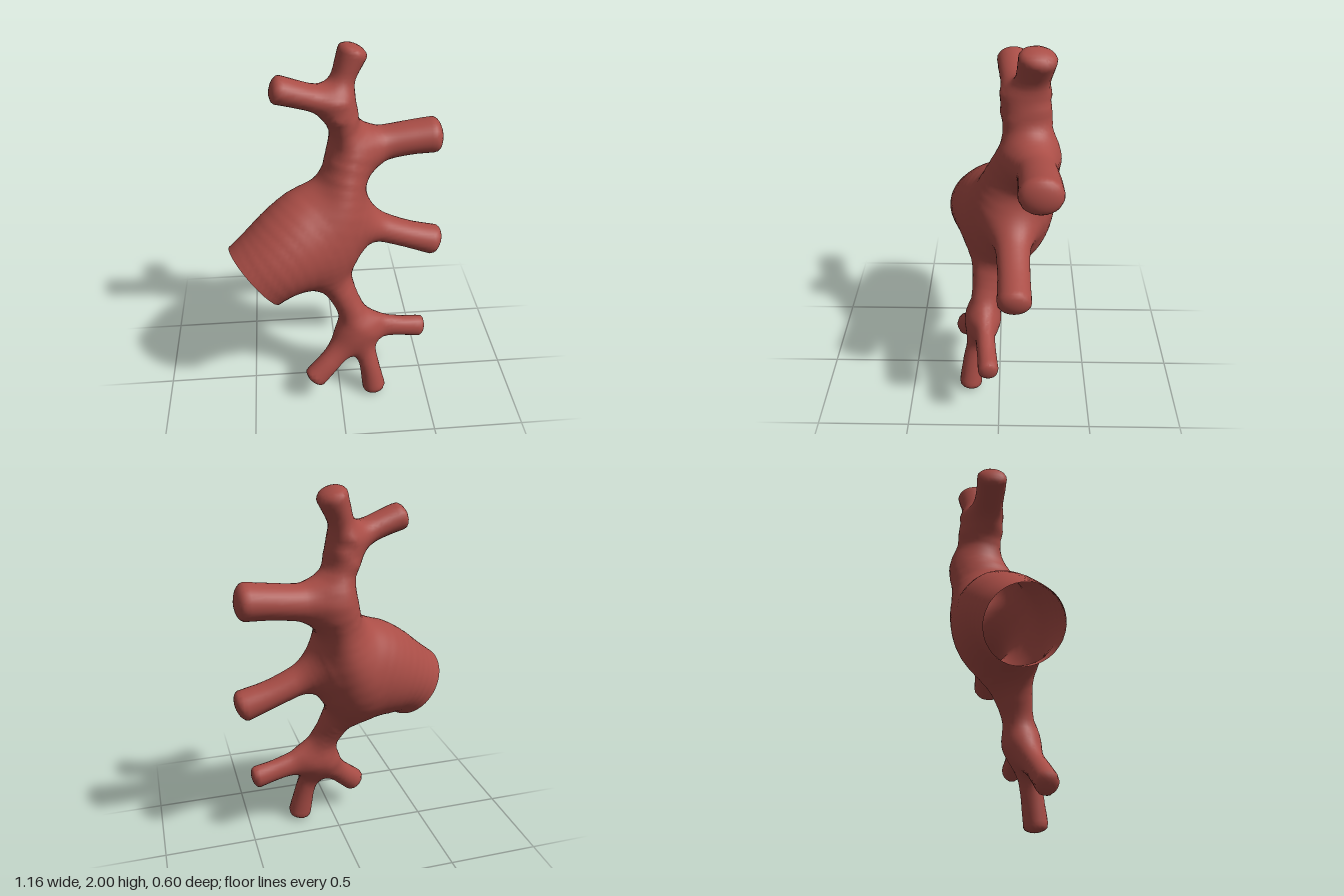
import * as THREE from 'three';

// Each part is a row of stations: [x, y, z, radius across, radius in depth].
const PARTS = {
  // Wide inlet; its first station lies beyond the open rim
  mainInlet: [
    [-0.58, 0.755, 0.137, 0.2, 0.2],
    [-0.455, 0.845, 0.1, 0.202, 0.204],
    [-0.33, 0.925, 0.062, 0.218, 0.23],
    [-0.2, 0.98, 0.012, 0.262, 0.242],
    [-0.1, 1.02, -0.03, 0.275, 0.23],
    [-0.03, 1.06, -0.06, 0.22, 0.19],
  ],
  // Upright trunk, swollen where the inlet joins
  trunk: [
    [0.015, 1.72, -0.13, 0.04, 0.07],
    [0.04, 1.59, -0.135, 0.065, 0.105],
    [0.07, 1.45, -0.145, 0.095, 0.14],
    [0.035, 1.3, -0.1, 0.122, 0.185],
    [0.01, 1.16, -0.07, 0.122, 0.205],
    [-0.05, 0.98, -0.03, 0.09, 0.18],
    [-0.055, 0.81, 0.015, 0.085, 0.145],
    [0.01, 0.68, 0.05, 0.08, 0.105],
    [0.055, 0.57, 0.075, 0.068, 0.08],
    [0.09, 0.45, 0.09, 0.07, 0.05],
  ],
  topBranch: [
    [0.01, 1.67, -0.13, 0.04, 0.07],
    [0.02, 1.77, -0.145, 0.052, 0.08],
    [0.047, 1.86, -0.16, 0.062, 0.084],
    [0.083, 1.95, -0.175, 0.075, 0.092],
  ],
  upperRightBranch: [
    [0.02, 1.66, -0.125, 0.045, 0.07],
    [-0.02, 1.715, -0.105, 0.06, 0.08],
    [-0.11, 1.757, -0.085, 0.062, 0.08],
    [-0.2, 1.79, -0.07, 0.064, 0.08],
    [-0.287, 1.818, -0.062, 0.068, 0.082],
  ],
  upperLeftBranch: [
    [0.07, 1.445, -0.145, 0.11, 0.125],
    [0.16, 1.448, -0.16, 0.108, 0.115],
    [0.26, 1.46, -0.178, 0.09, 0.1],
    [0.39, 1.477, -0.188, 0.087, 0.102],
    [0.515, 1.488, -0.19, 0.092, 0.105],
  ],
  middleLeftBranch: [
    [0.05, 1.09, -0.065, 0.1, 0.125],
    [0.14, 1.05, -0.068, 0.085, 0.105],
    [0.25, 1.0, -0.07, 0.075, 0.088],
    [0.39, 0.945, -0.075, 0.072, 0.082],
    [0.53, 0.9, -0.078, 0.082, 0.086],
  ],
  lowerLeftBranch: [
    [0.11, 0.46, 0.088, 0.08, 0.05],
    [0.18, 0.44, 0.083, 0.077, 0.05],
    [0.27, 0.42, 0.075, 0.066, 0.052],
    [0.36, 0.402, 0.066, 0.06, 0.052],
    [0.462, 0.383, 0.054, 0.063, 0.055],
  ],
  bottomBranch: [
    [0.11, 0.42, 0.1, 0.06, 0.045],
    [0.138, 0.32, 0.122, 0.058, 0.053],
    [0.167, 0.2, 0.147, 0.056, 0.058],
    [0.197, 0.037, 0.167, 0.066, 0.064],
  ],
  lowerRightBranch: [
    [0.09, 0.43, 0.1, 0.06, 0.048],
    [0.02, 0.345, 0.13, 0.063, 0.055],
    [-0.06, 0.258, 0.172, 0.064, 0.059],
    [-0.147, 0.174, 0.205, 0.068, 0.06],
  ],
};
const INLET = 0;                                   // index of mainInlet
const RIM = new THREE.Vector3(-0.455, 0.845, 0.1);  // centre of the open rim
const RIM_AXIS = new THREE.Vector3(0.78, 0.57, -0.24).normalize();
const BLEND = 0.11;                                // width of the fillets
const CELL = 0.022;
const ORIGIN = [-0.86, -0.09, -0.42], SIZE = [72, 102, 38];

// Smooth path through the stations, cut into short tapered segments
function segments(stations) {
  const path = new THREE.CatmullRomCurve3(stations.map(s => new THREE.Vector3(...s)));
  const radii = new THREE.CatmullRomCurve3(
    stations.map(s => new THREE.Vector3(s[3], s[4], 0)), false, 'catmullrom', 0.5);
  const n = (stations.length - 1) * 3;
  return Array.from({ length: n }, (_, i) => {
    const p = path.getPoint(i / n), t = path.getPoint((i + 1) / n).sub(p);
    const len = t.length();
    t.divideScalar(len);
    const b = new THREE.Vector3(0, 0, 1).addScaledVector(t, -t.z).normalize();
    const a = new THREE.Vector3().crossVectors(b, t);
    const blunt = i === 0 || i === n - 1 ? 0.55 : 1;
    return { p, t, a, b, len, blunt, r0: radii.getPoint(i / n), r1: radii.getPoint((i + 1) / n) };
  });
}

// Approximate distance from a point to one part's surface
function partDistance(segs, x, y, z) {
  let best = Infinity;
  for (const { p, t, a, b, len, blunt, r0, r1 } of segs) {
    const dx = x - p.x, dy = y - p.y, dz = z - p.z;
    const along = dx * t.x + dy * t.y + dz * t.z;
    const u = Math.min(1, Math.max(0, along / len));
    const ra = r0.x + (r1.x - r0.x) * u, rb = r0.y + (r1.y - r0.y) * u;
    const rc = blunt * Math.min(ra, rb);
    const ea = (dx * a.x + dy * a.y + dz * a.z) / ra;
    const eb = (dx * b.x + dy * b.y + dz * b.z) / rb;
    const ec = (along - u * len) / rc;
    const k0 = Math.hypot(ea, eb, ec) + 1e-6;
    const k1 = Math.hypot(ea / ra, eb / rb, ec / rc) + 1e-6;
    best = Math.min(best, k0 * (k0 - 1) / k1);
  }
  return best;
}

export function createModel() {
  const names = Object.keys(PARTS);
  const parts = Object.values(PARTS).map(segments);

  // All parts joined with soft fillets
  const field = (x, y, z) => parts.reduce((sum, segs) => {
    const d = partDistance(segs, x, y, z);
    const h = Math.max(BLEND - Math.abs(sum - d), 0) / BLEND;
    return Math.min(sum, d) - h * h * BLEND / 4;
  }, 10);
  const nearestPart = v => {
    const d = parts.map(segs => partDistance(segs, v.x, v.y, v.z));
    return d.indexOf(Math.min(...d));
  };
  const gradient = ({ x, y, z }, e) => new THREE.Vector3(
    field(x + e, y, z) - field(x - e, y, z),
    field(x, y + e, z) - field(x, y - e, z),
    field(x, y, z + e) - field(x, y, z - e)).divideScalar(2 * e);

  // Sample the field on a lattice
  const [nx, ny, nz] = SIZE, stride = [1, nx, nx * ny];
  const values = new Float32Array(nx * ny * nz);
  const eachCell = visit => {
    for (let k = 1; k < nz - 1; k++)
      for (let j = 1; j < ny - 1; j++)
        for (let i = 1; i < nx - 1; i++) visit(i + nx * j + nx * ny * k, [i, j, k]);
  };
  const place = ijk => ijk.map((n, d) => ORIGIN[d] + n * CELL);
  values.fill(1);
  eachCell((id, ijk) => { values[id] = field(...place(ijk)); });

  // One surface point in every cell the surface crosses
  const positions = [], normals = [], owner = [], beyondRim = [], pointOf = new Map();
  eachCell((id, ijk) => {
    const v = new THREE.Vector3();
    let crossings = 0;
    for (let c = 0; c < 8; c++) {
      const corner = [c & 1, (c >> 1) & 1, c >> 2];
      const from = id + corner.reduce((s, on, d) => s + on * stride[d], 0);
      for (let d = 0; d < 3; d++) {
        const f0 = values[from], f1 = values[from + stride[d]];
        if (corner[d] || f0 < 0 === f1 < 0) continue;
        const at = [...corner];
        at[d] = f0 / (f0 - f1);
        v.add(new THREE.Vector3(...at));
        crossings++;
      }
    }
    if (!crossings) return;
    v.divideScalar(crossings).multiplyScalar(CELL).add(new THREE.Vector3(...place(ijk)));
    const g = gradient(v, 0.006);
    v.addScaledVector(g, -field(v.x, v.y, v.z) / g.lengthSq());
    const normal = gradient(v, 0.02).normalize();

    // Points past the rim slide back onto its plane
    const part = nearestPart(v);
    const depth = v.clone().sub(RIM).dot(RIM_AXIS);
    const beyond = part === INLET && depth < 0;
    if (beyond) v.addScaledVector(RIM_AXIS, -depth);

    pointOf.set(id, owner.length);
    positions.push(v.x, v.y, v.z);
    normals.push(normal.x, normal.y, normal.z);
    owner.push(part);
    beyondRim.push(beyond);
  });

  // A quad around every crossed lattice edge, sorted by part
  const faces = names.map(() => []);
  eachCell(id => {
    for (let d = 0; d < 3; d++) {
      if (values[id] < 0 === values[id + stride[d]] < 0) continue;
      const u = stride[(d + 1) % 3], w = stride[(d + 2) % 3];
      const quad = [id, id - u, id - u - w, id - w].map(c => pointOf.get(c));
      if (quad.every(q => beyondRim[q])) continue;
      if (values[id] >= 0) quad.reverse();
      const [a, b, c, e] = quad;
      faces[owner[a]].push(a, b, c, a, c, e);
    }
  });

  const vesselRed = new THREE.MeshStandardMaterial({ color: 0xa94d46, side: THREE.DoubleSide });
  vesselRed.name = 'vesselRed';
  const group = new THREE.Group();
  group.name = 'branchingVessel';
  names.forEach((name, i) => {
    const geometry = new THREE.BufferGeometry();
    geometry.setAttribute('position', new THREE.Float32BufferAttribute(positions, 3));
    geometry.setAttribute('normal', new THREE.Float32BufferAttribute(normals, 3));
    geometry.setIndex(faces[i]);
    const mesh = new THREE.Mesh(geometry.toNonIndexed(), vesselRed);
    mesh.name = name;
    group.add(mesh);
  });
  return group;
}
